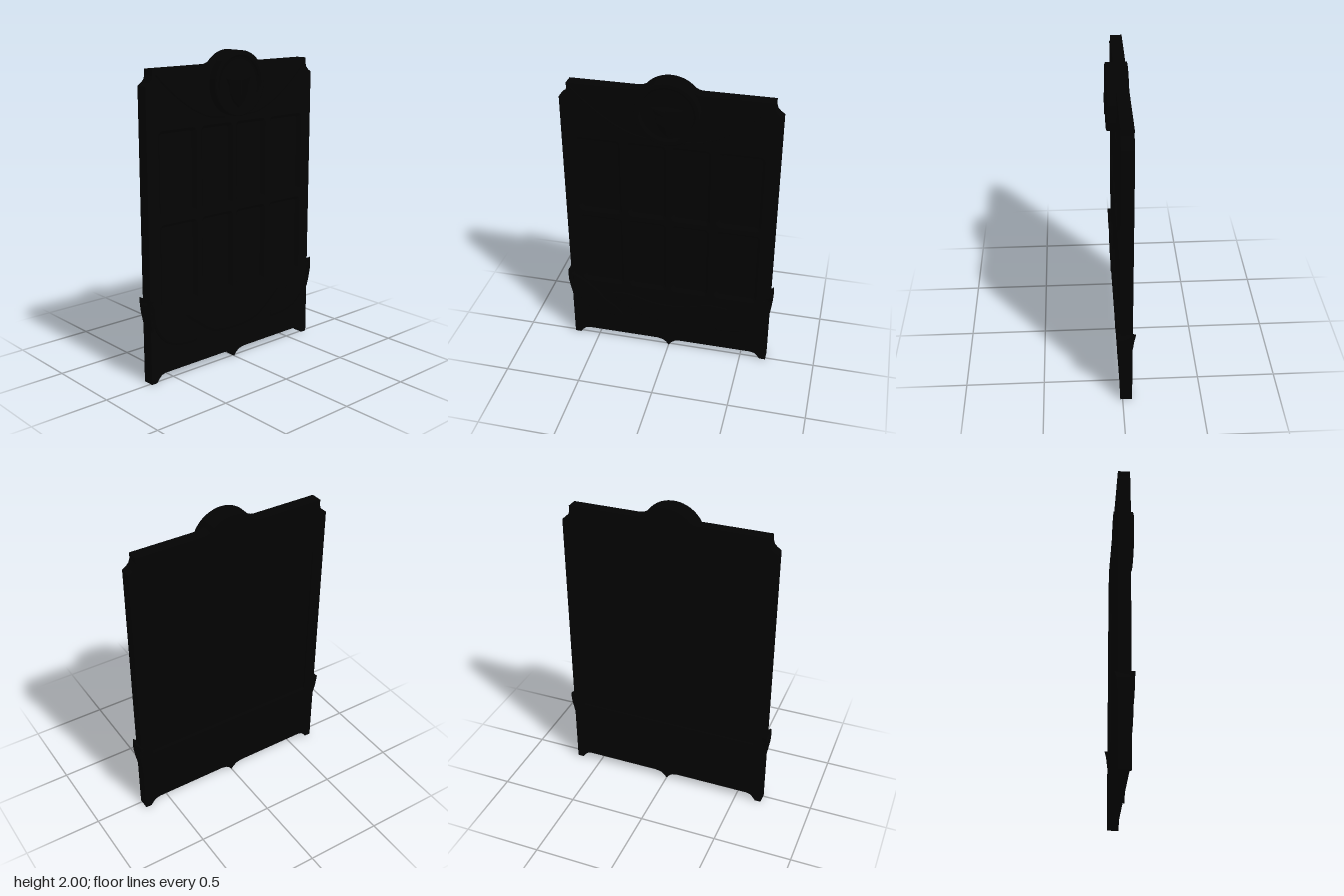
import * as THREE from 'three';

const FRONT = 0.015, BACK = -0.06, PANE = -0.006;
const material = new THREE.MeshStandardMaterial({ color: 0x030303 });
const V2 = (x, y) => new THREE.Vector2(x, y);
const V3 = (x, y, z) => new THREE.Vector3(x, y, z);

// Skin a row of closed loops, optionally closing the last one
function loft(loops, cap = false) {
  const n = loops[0].length, tri = [];
  for (let k = 0; k < loops.length - 1; k++) {
    const a = loops[k], b = loops[k + 1];
    for (let i = 0; i < n; i++) {
      const j = (i + 1) % n;
      tri.push(a[i], a[j], b[j], a[i], b[j], b[i]);
    }
  }
  const end = loops[loops.length - 1];
  if (cap) for (let i = 1; i < n - 1; i++) tri.push(end[0], end[i], end[i + 1]);
  const g = new THREE.BufferGeometry().setFromPoints(tri);
  g.computeVertexNormals();
  return g;
}

// Counter-clockwise rounded rectangle
function roundedRect(x0, x1, y0, y1, r) {
  const pts = [];
  [[x1 - r, y1 - r], [x0 + r, y1 - r], [x0 + r, y0 + r], [x1 - r, y0 + r]].forEach(([cx, cy], q) => {
    for (let i = 0; i <= 5; i++) {
      const a = (q + i / 5) * Math.PI / 2;
      pts.push(V2(cx + r * Math.cos(a), cy + r * Math.sin(a)));
    }
  });
  return pts;
}

// Scalloped door outline: right half, then mirrored
function doorOutline() {
  const half = [
    [0, 0], [0.018, 0.024], [0.042, 0.042], [0.08, 0.05], [0.57, 0.05], [0.598, 0.042],
    [0.615, 0.026], [0.635, 0], [0.675, 0], [0.675, 1.825], [0.65, 1.842], [0.633, 1.86],
    [0.625, 1.885], [0.625, 1.92], [0.19, 1.92], [0.17, 1.924],
  ].map(p => V2(...p));
  for (let i = 0; i <= 10; i++) {
    const a = THREE.MathUtils.degToRad(42 + 4.8 * i);
    half.push(V2(0.2 * Math.cos(a), 1.8 + 0.2 * Math.sin(a)));
  }
  const mirrored = half.slice(1, -1).reverse().map(p => V2(-p.x, p.y));
  return [...half, ...mirrored];
}

export function createModel() {
  const model = new THREE.Group();
  const add = (name, geometry) => {
    const mesh = new THREE.Mesh(geometry, material);
    mesh.name = name;
    model.add(mesh);
    return mesh;
  };
  const slab = (name, holes, z0, z1) => {
    const shape = new THREE.Shape(doorOutline());
    shape.holes = holes.map(h => new THREE.Path(h));
    const g = new THREE.ExtrudeGeometry(shape, { depth: z1 - z0, bevelEnabled: false });
    add(name, g.translate(0, 0, z0));
  };

  // Front frame with two rows of four panes, each with a sloping surround
  const panes = [];
  for (const [y0, y1] of [[0.47, 0.995], [1.03, 1.56]])
    for (const [x0, x1] of [[-0.59, -0.305], [-0.265, -0.015], [0.015, 0.265], [0.305, 0.59]])
      panes.push([x0, x1, y0, y1]);
  slab('frontFrame', panes.map(p => roundedRect(...p, 0.03)), -0.025, FRONT);
  for (const [x0, x1, y0, y1] of panes) {
    const d = 0.02;
    add('paneSurround', loft([
      roundedRect(x0, x1, y0, y1, 0.03).map(p => V3(p.x, p.y, FRONT)),
      roundedRect(x0 + d, x1 - d, y0 + d, y1 - d, 0.02).map(p => V3(p.x, p.y, PANE)),
    ]));
  }

  // Back frame around one wide recess, with the panel between the two frames
  slab('backFrame', [roundedRect(-0.6, 0.6, 0.46, 1.57, 0.005)], BACK, -0.025);
  const panel = new THREE.BoxGeometry(1.23, 1.16, PANE + 0.042);
  add('panel', panel.translate(0, 1.015, (PANE - 0.042) / 2));

  // Round medallion with a raised rim
  const rim = [[0.2, 0.012], [0.2, 0.066], [0.195, 0.07], [0.175, 0.07], [0.165, 0.064],
    [0.16, 0.054], [0.15, 0.052], [0, 0.052]].map(p => V2(...p));
  const medallion = new THREE.LatheGeometry(rim, 64).toNonIndexed();
  medallion.computeVertexNormals();
  add('medallion', medallion.rotateX(Math.PI / 2).translate(0, 1.8, 0));

  // Plain ridged shield on the medallion
  const shield = [[0, 1.65], [0.045, 1.69], [0.07, 1.74], [0.078, 1.79], [0.1, 1.835],
    [0, 1.845], [-0.1, 1.835], [-0.078, 1.79], [-0.07, 1.74], [-0.045, 1.69]];
  const shieldLoop = (sx, sy, z) => shield.map(([x, y]) => V3(x * sx, 1.79 + (y - 1.79) * sy, z));
  add('shield', loft([shieldLoop(1, 1, 0.05), shieldLoop(0.92, 0.95, 0.062), shieldLoop(0.06, 0.7, 0.079)], true));

  // Swag mouldings from the top corners to the medallion
  for (const s of [-1, 1]) {
    const path = new THREE.CatmullRomCurve3(
      [[0.6, 1.89], [0.53, 1.82], [0.42, 1.73], [0.31, 1.66], [0.2, 1.615], [0.08, 1.6]]
        .map(([x, y]) => V3(s * x, y, 0.011)));
    add('swag', new THREE.TubeGeometry(path, 32, 0.009, 8));
  }

  // Low relief on the lower door, growing thicker towards the sides
  const relief = (name, pts, thickness) => {
    const shape = new THREE.Shape(new THREE.SplineCurve(pts.map(p => V2(...p))).getPoints(60));
    const g = new THREE.ExtrudeGeometry(shape, {
      depth: 0.004, bevelSize: 0.012, bevelOffset: -0.012, bevelThickness: 0.006, bevelSegments: 3, curveSegments: 1,
    });
    const p = g.attributes.position;
    for (let i = 0; i < p.count; i++)
      p.setZ(i, FRONT - 0.002 + Math.max(p.getZ(i), -0.002) * thickness(Math.abs(p.getX(i))));
    g.computeVertexNormals();
    add(name, g);
  };
  for (const s of [-1, 1])
    relief('sideDrape', [[0.668, 0.52], [0.66, 0.4], [0.62, 0.31], [0.55, 0.24], [0.45, 0.205], [0.33, 0.2],
      [0.35, 0.26], [0.43, 0.32], [0.5, 0.4], [0.58, 0.47], [0.668, 0.52]].map(([x, y]) => [s * x, y]),
    x => 0.3 + 1.9 * x);
  const swagHalf = [[0.4, 0.39], [0.31, 0.31], [0.2, 0.235], [0.1, 0.21]];
  const topHalf = [[0.12, 0.36], [0.27, 0.4]];
  const flip = a => a.slice().reverse().map(([x, y]) => [-x, y]);
  relief('centreDrape', [...swagHalf, [0, 0.205], ...flip(swagHalf), ...flip(topHalf), [0, 0.35], ...topHalf, [0.4, 0.39]],
    () => 0.9);

  // Flared horns wrapping the side edges: y, outer x, front z, back z
  const levels = [[0.34, 0.67, 0.024, -0.05], [0.4, 0.681, 0.029, -0.056], [0.46, 0.69, 0.032, -0.063],
    [0.51, 0.692, 0.033, -0.069], [0.55, 0.687, 0.036, -0.08]];
  for (const s of [-1, 1]) {
    add('sideHorn', loft(levels.map(([y, xo, zf, zb], k) => {
      const inner = 0.62 + 0.008 * k;
      const [x0, x1] = s > 0 ? [inner, xo] : [-xo, -inner];
      const drop = k === 4 ? 0.02 : 0;
      const yl = s > 0 ? y - drop : y, yr = s > 0 ? y : y - drop;
      return [V3(x0, yl, s > 0 ? FRONT : zf), V3(x1, yr, s > 0 ? zf : FRONT),
        V3(x1, yr - drop, 0), V3(x1, yr, s > 0 ? zb : BACK + 0.005),
        V3(x0, yl, s > 0 ? BACK + 0.005 : zb), V3(x0, yl - drop, 0)];
    }), true));
  }
  return model;
}
